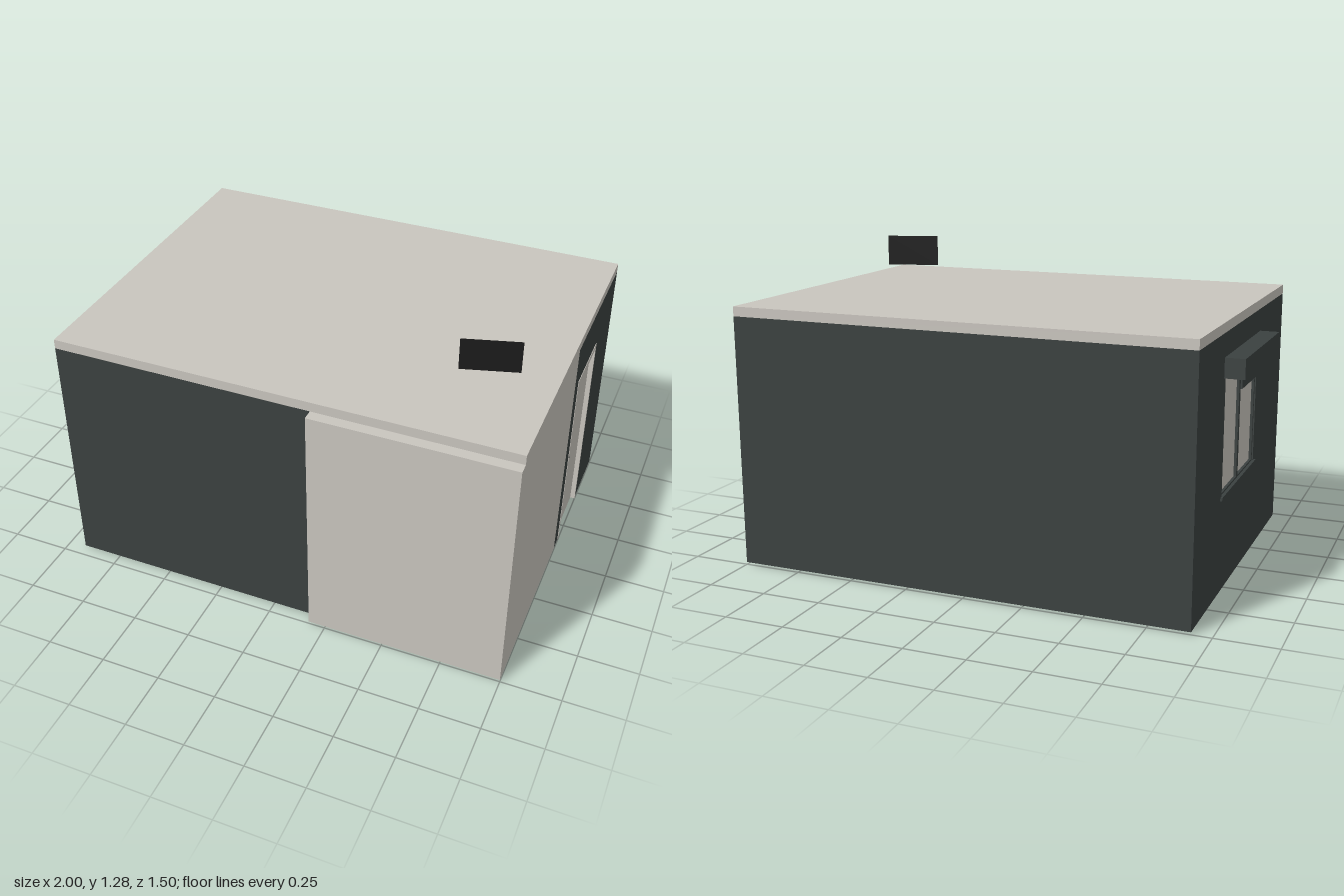
import * as THREE from 'three';

const mat = (name, color, extra = {}) => new THREE.MeshStandardMaterial({ name, color, ...extra });

export function createModel() {
  const model = new THREE.Group();
  model.name = 'smallHouse';
  const dark = mat('dark slate', 0x3b4140);
  const light = mat('warm white', 0xc9c5be);
  const brown = mat('brown floor', 0xb39c8c);
  const grey = mat('grey floor', 0xb0b0b0);
  const black = mat('black', 0x1c1c1c, { side: THREE.DoubleSide });

  const T = 0.045;                                   // wall thickness
  const L = -0.92, R = 1, B = -0.75, F = 0.705;      // main outline
  const PX = 0.18, PZ = -0.08, PF = 0.75;            // corner room outline
  const Y0 = 0.01, Y1 = 1.055;

  function add(name, geo, material, parent = model) {
    const mesh = new THREE.Mesh(geo, material);
    mesh.name = name;
    parent.add(mesh);
    return mesh;
  }
  function box(name, material, x0, x1, y0, y1, z0, z1, parent) {
    const geo = new THREE.BoxGeometry(x1 - x0, y1 - y0, z1 - z0);
    geo.translate((x0 + x1) / 2, (y0 + y1) / 2, (z0 + z1) / 2);
    return add(name, geo, material, parent);
  }
  const outline = pts => new THREE.Shape(pts.map(p => new THREE.Vector2(...p)));
  // Extrudes a (z, y) outline inward from an outer x
  function sidePlate(name, material, shape, xOuter, depth, parent) {
    const geo = new THREE.ExtrudeGeometry(shape, { depth, bevelEnabled: false });
    geo.rotateY(-Math.PI / 2);
    geo.translate(xOuter, 0, 0);
    return add(name, geo, material, parent);
  }
  const rect = (a, b, c, d) => outline([[a, c], [b, c], [b, d], [a, d]]);
  // Upside-down U around a door opening
  const portal = (z0, z1, top, a, b, h) =>
    outline([[z0, Y0], [a, Y0], [a, h], [b, h], [b, Y0], [z1, Y0], [z1, top], [z0, top]]);

  // Floors
  const floorShape = outline([
    [L + T, -(B + T)], [L + T, -(F - T)], [PX, -(F - T)], [PX, -PZ], [R - T, -PZ], [R - T, -(B + T)],
  ]);
  const floorGeo = new THREE.ExtrudeGeometry(floorShape, { depth: 0.012, bevelEnabled: false });
  floorGeo.rotateX(-Math.PI / 2);
  add('mainFloor', floorGeo, brown);
  box('cornerRoomFloor', grey, PX + T, R - T, 0, 0.012, PZ + T, PF - T);

  // Roof slab
  box('roof', light, L, R, Y1, 1.095, B, F);

  // Dark walls
  box('backWall', dark, L, R, Y0, Y1, B, B + T);
  box('frontWall', dark, L, PX, Y0, Y1, F - T, F);
  const W = { z0: -0.345, z1: 0.205, y0: 0.4, y1: 0.89 };
  const windowWall = rect(B + T, F - T, Y0, Y1);
  windowWall.holes.push(rect(W.z0, W.z1, W.y0, W.y1));
  sidePlate('windowWall', dark, windowWall, L + T, T);
  const D = { z0: -0.455, z1: -0.14, top: 0.865 };
  sidePlate('doorWall', dark, portal(B + T, PZ, Y1, D.z0, D.z1, D.top), R, T);

  // Corner room
  box('cornerRoomFront', light, PX, R, Y0, Y1, PF - T, PF);
  box('cornerRoomSide', light, R - T, R, Y0, Y1, PZ, PF - T);
  box('partitionSide', dark, PX, PX + T, Y0, Y1, PZ, F);
  box('partitionBack', dark, PX + T, R - T, Y0, Y1, PZ, PZ + T);
  box('innerDoor', light, 0.34, 0.65, Y0, D.top, PZ - 0.004, PZ);

  // Entrance door
  const door = new THREE.Group();
  door.name = 'entranceDoor';
  model.add(door);
  sidePlate('doorFrame', light, portal(D.z0, D.z1, D.top, -0.445, -0.15, 0.84), R + 0.002, T + 0.004, door);
  box('doorLeaf', light, R - 0.04, R - 0.018, Y0, 0.84, -0.445, -0.15, door);
  const knob = add('doorKnob', new THREE.SphereGeometry(0.008, 12, 8), dark, door);
  knob.position.set(R - 0.012, 0.43, -0.2);

  // Window: frame, two panes, sill
  const win = new THREE.Group();
  win.name = 'window';
  model.add(win);
  const mid = (W.z0 + W.z1) / 2;
  const frame = rect(W.z0, W.z1, W.y0, W.y1);
  frame.holes.push(rect(W.z0 + 0.012, mid - 0.012, W.y0 + 0.015, W.y1 - 0.015));
  frame.holes.push(rect(mid + 0.012, W.z1 - 0.012, W.y0 + 0.015, W.y1 - 0.015));
  sidePlate('windowFrame', dark, frame, L + 0.035, 0.03, win);
  for (const [a, b] of [[W.z0 + 0.012, mid - 0.012], [mid + 0.012, W.z1 - 0.012]])
    box('windowPane', light, L + 0.016, L + 0.022, W.y0 + 0.015, W.y1 - 0.015, a, b, win);
  box('windowSill', dark, L - 0.008, L + 0.02, W.y0 - 0.005, W.y0 + 0.008, W.z0 - 0.02, W.z1 + 0.02, win);

  // Awning box with its hanging edge
  box('awningBox', dark, -1, L, 0.88, 0.96, -0.37, 0.25);
  box('awningEdge', dark, -0.985, -0.978, 0.84, 0.88, -0.345, 0.225);

  // Thin panel floating over the roof
  const panel = add('floatingPanel', new THREE.PlaneGeometry(0.234, 0.135), black);
  panel.position.set(0.748, 1.217, 0.331);
  panel.rotation.y = 0.28;

  return model;
}
